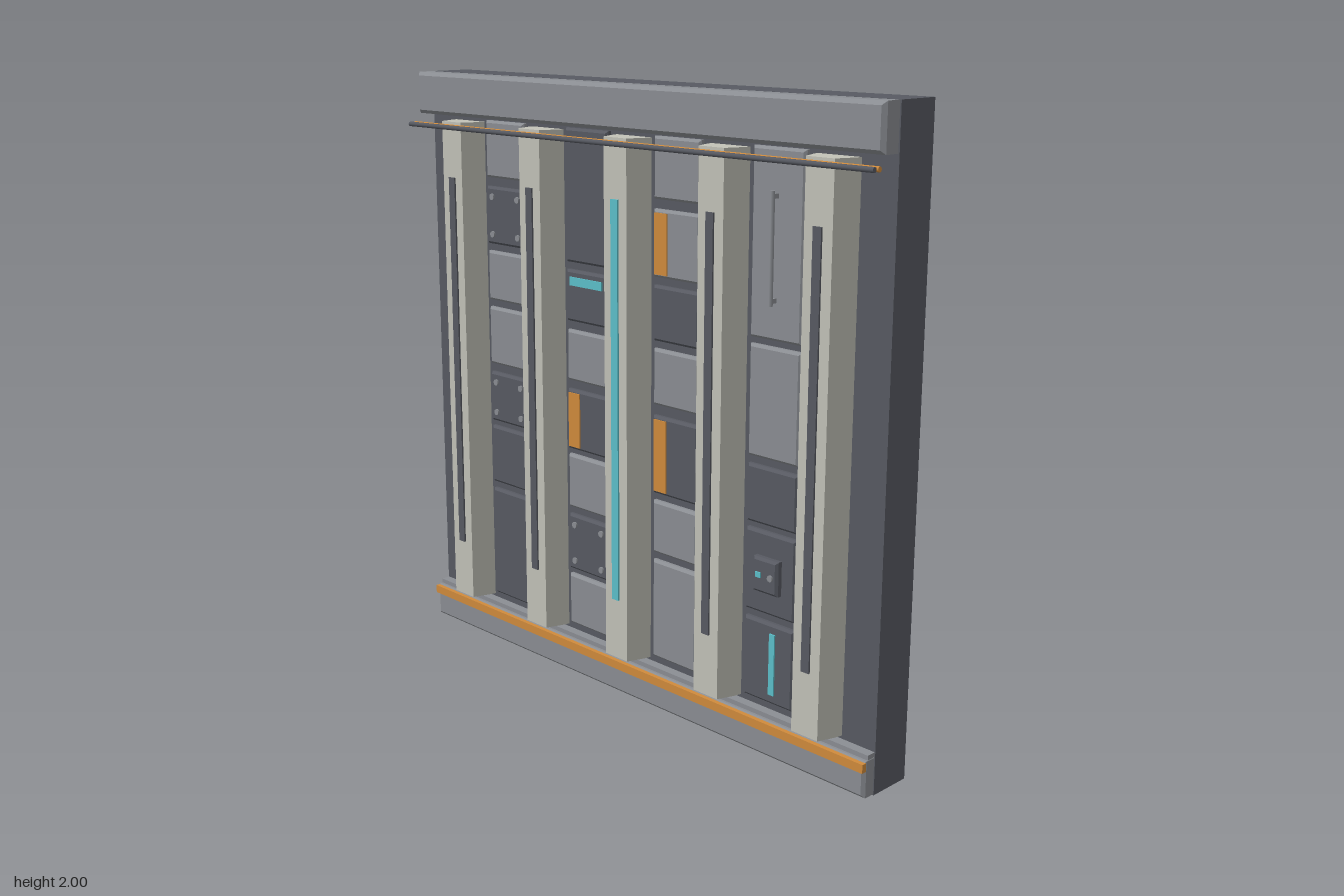
import * as THREE from 'three';

const mat = (name, color) => {
  const m = new THREE.MeshStandardMaterial({ color });
  m.name = name;
  return m;
};

export function createModel() {
  const root = new THREE.Group();
  root.name = 'wallPanel';
  const dark = mat('dark steel', 0x575a62);
  const grey = mat('mid grey', 0x8b8e93);
  const pale = mat('pale rib', 0xc2c2b8);
  const orange = mat('orange', 0xd08b3c);
  const cyan = mat('cyan light', 0x5cc0ca);

  const add = (name, geo, material, x = 0, y = 0, z = 0) => {
    const m = new THREE.Mesh(geo, material);
    m.name = name;
    m.position.set(x, y, z);
    root.add(m);
    return m;
  };
  // box given by its extents
  const box = (name, material, x0, x1, y0, y1, z0, z1) =>
    add(name, new THREE.BoxGeometry(x1 - x0, y1 - y0, z1 - z0), material,
      (x0 + x1) / 2, (y0 + y1) / 2, (z0 + z1) / 2);
  // box with chamfered front edges
  const plate = (name, material, x0, x1, y0, y1, z0, z1, c) => {
    const s = new THREE.Shape([[x0 + c, y0 + c], [x1 - c, y0 + c], [x1 - c, y1 - c], [x0 + c, y1 - c]]
      .map(p => new THREE.Vector2(...p)));
    const geo = new THREE.ExtrudeGeometry(s, {
      depth: z1 - z0 - 2 * c, bevelEnabled: true, bevelThickness: c, bevelSize: c, bevelSegments: 1,
    });
    return add(name, geo, material, 0, 0, z0 + c);
  };
  const rod = (name, material, r, length, sides = 8) =>
    add(name, new THREE.CylinderGeometry(r, r, length, sides), material);

  // backing slab, header and skirting
  box('backSlab', dark, -1, 1, 0, 2, -0.13, 0.018);
  plate('headerBeam', grey, -1, 1, 1.86, 2, 0.012, 0.088, 0.012);
  plate('baseBeam', grey, -1, 1, 0.005, 0.122, 0.012, 0.068, 0.01);
  box('baseLip', grey, -0.998, 0.998, 0.115, 0.137, 0.012, 0.05);
  box('baseStripe', orange, -1, 1, 0.09, 0.118, 0.06, 0.077);

  // pipes below the header
  const pipes = [['orangePipe', orange, 0.1, 0.008], ['darkPipe', dark, 0.122, 0.008]];
  for (const [name, m, z, r] of pipes) {
    const p = rod(name, m, r, 2);
    p.rotation.z = Math.PI / 2;
    p.position.set(0, 1.825, z);
  }

  // tapered vertical ribs with inlaid strips
  const half = [[0.078, 0.012], [0.07, 0.045], [0.05, 0.1]];
  const outline = [...half.map(([x, z]) => [x, -z]), ...half.slice().reverse().map(([x, z]) => [-x, -z])];
  const ribShape = new THREE.Shape(outline.map(p => new THREE.Vector2(...p)));
  const ribGeo = new THREE.ExtrudeGeometry(ribShape, { depth: 1.695, bevelEnabled: false });
  ribGeo.rotateX(-Math.PI / 2);
  for (const x of [-0.8, -0.4, 0, 0.4, 0.8]) {
    add('rib', ribGeo, pale, x, 0.147, 0);
    box('ribStrip', x === 0 ? cyan : dark, x - 0.015, x + 0.015, 0.35, 1.655, 0.098, 0.106);
  }

  // panels per column: bottom, top, material, detail
  const columns = [
    [-0.6, [[0.165, 0.56, dark], [0.585, 0.79, dark], [0.81, 0.985, dark, 'bolts'], [1.015, 1.215, grey],
      [1.24, 1.41, grey], [1.435, 1.63, dark, 'bolts'], [1.66, 1.85, grey]]],
    [-0.2, [[0.165, 0.345, grey], [0.365, 0.56, dark, 'bolts'], [0.585, 0.77, grey], [0.79, 0.995, dark, 'band'],
      [1.025, 1.195, grey], [1.225, 1.395, dark], [1.42, 1.85, dark]]],
    [0.2, [[0.165, 0.5, grey], [0.525, 0.7, grey], [0.725, 0.98, dark, 'band'], [1.015, 1.195, grey],
      [1.22, 1.395, dark], [1.42, 1.63, grey, 'band'], [1.66, 1.85, grey]]],
    [0.6, [[0.165, 0.425, dark], [0.45, 0.71, dark], [0.73, 0.91, dark], [0.935, 1.275, grey], [1.295, 1.85, grey]]],
  ];
  const face = 0.038;
  for (const [x, panels] of columns) {
    for (const [y0, y1, m, detail] of panels) {
      plate('panel', m, x - 0.098, x + 0.098, y0, y1, 0.012, face, 0.008);
      if (detail === 'band') {
        box('orangeBand', orange, x - 0.088, x - 0.035, y0 + 0.01, y1 - 0.01, face - 0.004, face + 0.004);
      }
      if (detail === 'bolts') {
        for (const sx of [-1, 1]) for (const sy of [-1, 1]) {
          const b = rod('bolt', grey, 0.011, 0.012, 10);
          b.rotation.x = Math.PI / 2;
          b.position.set(x + sx * 0.065, (y0 + y1) / 2 + sy * ((y1 - y0) / 2 - 0.034), face);
        }
      }
    }
  }

  // indicator lights
  box('lightBar', cyan, -0.275, -0.125, 1.345, 1.373, face - 0.004, face + 0.005);
  box('lightBar', cyan, 0.607, 0.628, 0.197, 0.395, face - 0.004, face + 0.005);

  // control box with two buttons
  plate('controlBox', dark, 0.55, 0.647, 0.525, 0.635, face - 0.008, 0.06, 0.008);
  box('buttonLight', cyan, 0.565, 0.585, 0.573, 0.59, 0.057, 0.064);
  const button = rod('button', grey, 0.01, 0.012, 10);
  button.rotation.x = Math.PI / 2;
  button.position.set(0.623, 0.581, 0.06);

  // slim grab handle
  rod('handle', grey, 0.007, 0.33).position.set(0.598, 1.565, 0.058);
  for (const y of [1.415, 1.715]) box('handleMount', grey, 0.592, 0.604, y - 0.007, y + 0.007, face - 0.004, 0.058);

  return root;
}
